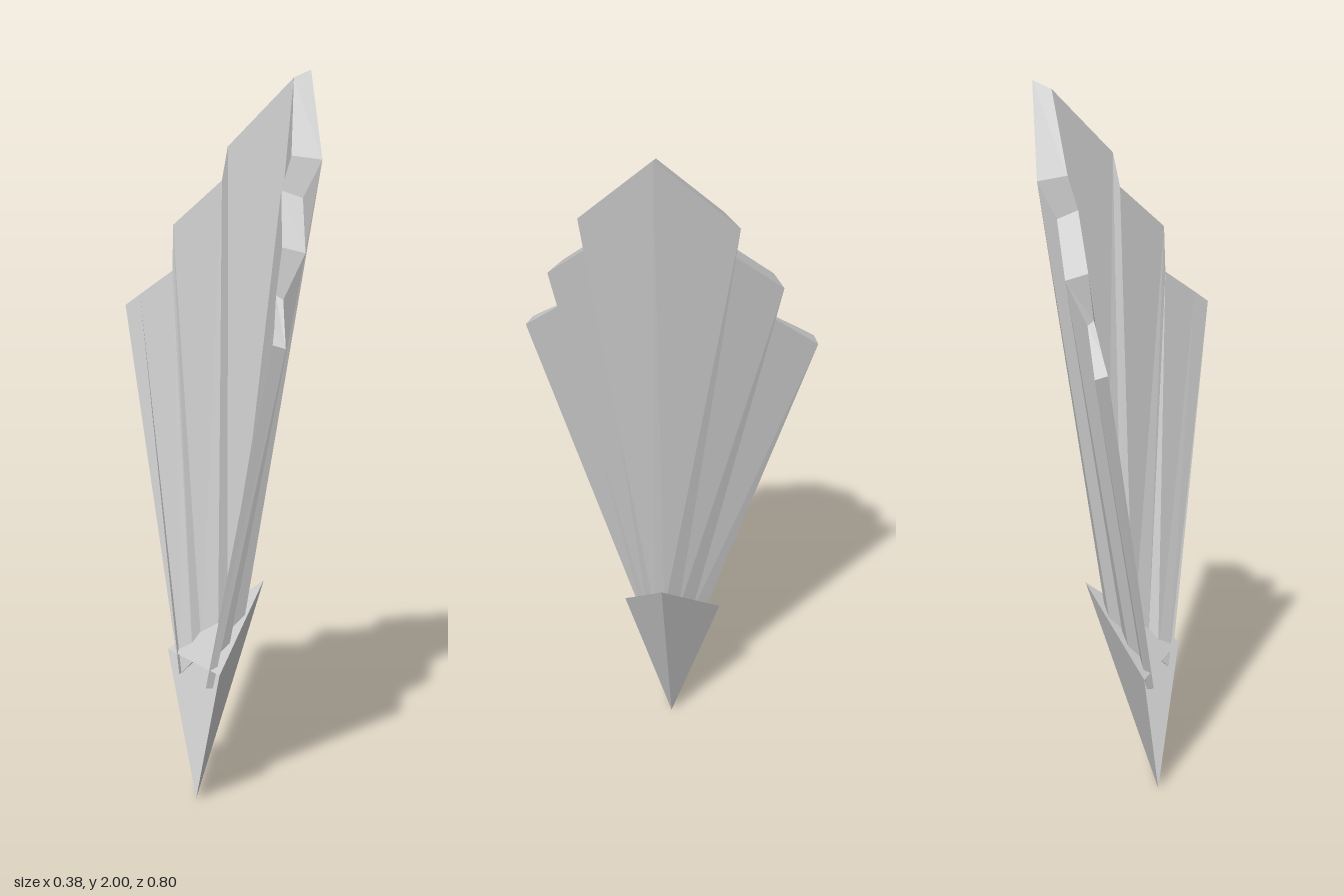
import * as THREE from 'three';

// Flat-shaded mesh from polygons (3 or 4 corners, counter-clockwise from outside)
function facetMesh(name, polys, side) {
  const pos = [];
  for (const p of polys) {
    for (let i = 1; i < p.length - 1; i++) pos.push(...p[0], ...p[i], ...p[i + 1]);
  }
  const geo = new THREE.BufferGeometry();
  geo.setAttribute('position', new THREE.Float32BufferAttribute(pos, 3));
  geo.computeVertexNormals();
  const mesh = new THREE.Mesh(geo, new THREE.MeshStandardMaterial({ color: 0xcccccc, flatShading: true, side }));
  mesh.name = name;
  return mesh;
}

// Half profile from the centre ridge outwards, mirrored to run from +z to -z
function mirrorProfile(half) {
  const other = half.slice(1).map(([x, y, z]) => [x, y, -z]);
  return [...half.slice().reverse(), ...other];
}

// Stepped fan: pleated sheet, thick at the top and thin at its slanted foot.
// Outer and inner skins meet along the side edges.
function createFan() {
  const sideTop = [-0.175, 1.34, 0.385];
  const sideFoot = [-0.19, 0.345, 0.072];
  const outerTop = mirrorProfile([
    [0.19, 2.0, 0], [0.09, 1.78, 0.208], [0.045, 1.68, 0.185],
    [-0.03, 1.555, 0.313], [-0.08, 1.435, 0.286], [-0.145, 1.33, 0.4], sideTop,
  ]);
  const innerTop = mirrorProfile([
    [0.135, 1.98, 0], [0.025, 1.79, 0.16], [0, 1.7, 0.15],
    [-0.08, 1.57, 0.28], [-0.09, 1.445, 0.267], [-0.148, 1.373, 0.35], sideTop,
  ]);
  const outerFoot = mirrorProfile([
    [-0.021, 0.5, 0], [-0.053, 0.45, 0.032], [-0.087, 0.43, 0.027],
    [-0.119, 0.41, 0.064], [-0.151, 0.38, 0.057], [-0.174, 0.345, 0.083], sideFoot,
  ]);
  const innerFoot = mirrorProfile([
    [-0.024, 0.5, 0], [-0.057, 0.45, 0.031], [-0.091, 0.43, 0.027],
    [-0.123, 0.41, 0.063], [-0.155, 0.38, 0.057], [-0.178, 0.345, 0.081], sideFoot,
  ]);

  const polys = [];
  for (let i = 0; i < outerFoot.length - 1; i++) {
    const j = i + 1;
    polys.push([outerFoot[i], outerFoot[j], outerTop[j], outerTop[i]]);
    polys.push([innerFoot[j], innerFoot[i], innerTop[i], innerTop[j]]);
    polys.push([outerTop[i], outerTop[j], innerTop[j], innerTop[i]]);
    polys.push([outerFoot[j], outerFoot[i], innerFoot[i], innerFoot[j]]);
  }
  return facetMesh('steppedFan', polys, THREE.FrontSide);
}

// Pointed holder at the foot of the fan: two sides and a lid, open at the back
function createHolder() {
  const tip = [-0.18, 0, 0];
  const front = [0.042, 0.6, 0];
  const left = [-0.187, 0.4, 0.14];
  const right = [-0.187, 0.4, -0.14];
  return facetMesh('pointedHolder', [
    [left, tip, front], [tip, right, front], [left, front, right],
  ], THREE.DoubleSide);
}

export function createModel() {
  const group = new THREE.Group();
  group.name = 'wallSconce';
  group.add(createFan(), createHolder());
  return group;
}
